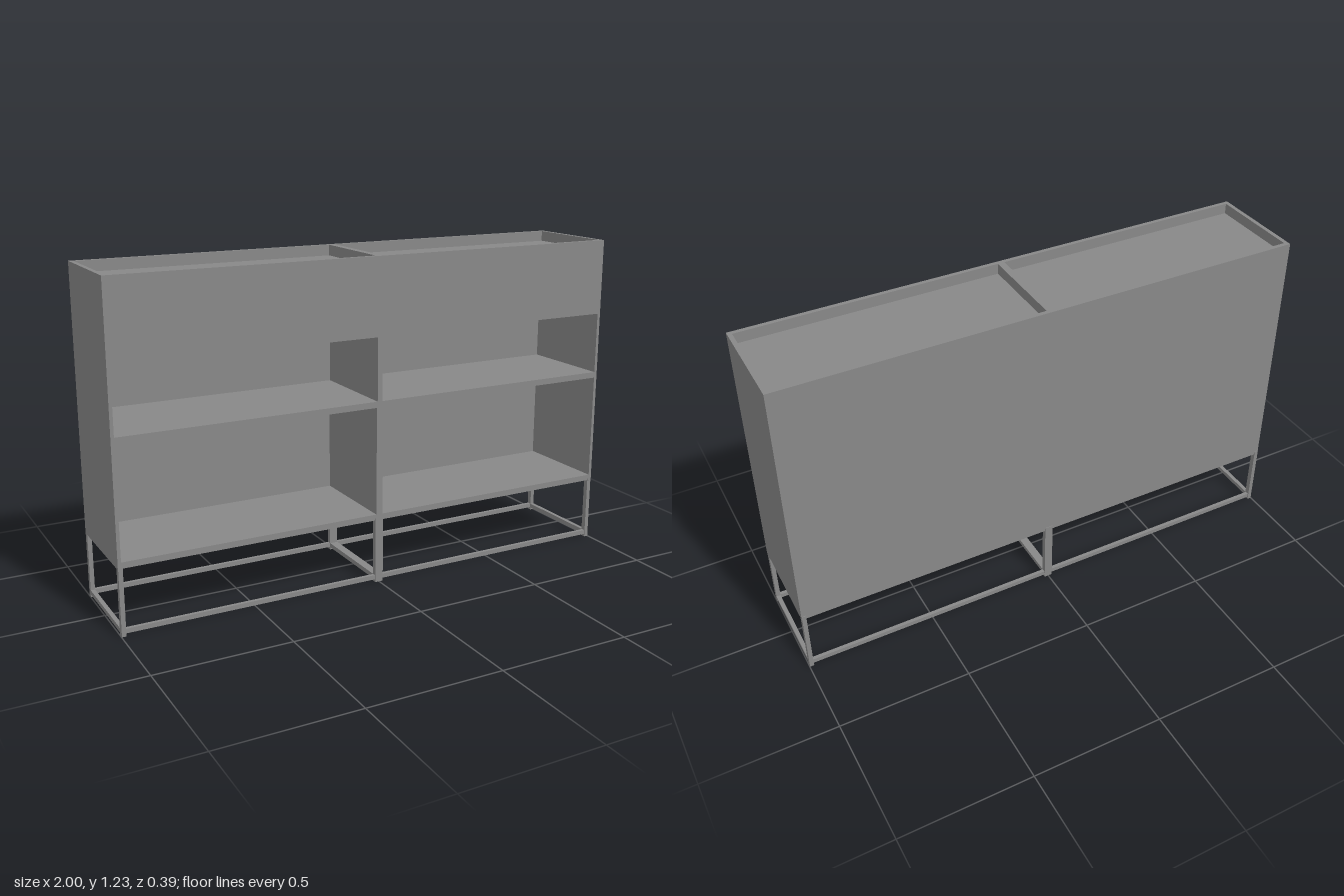
import * as THREE from 'three';

const material = new THREE.MeshStandardMaterial({ color: 0x888888 });

// Box given by its lower and upper corner
function slab(parent, name, [x0, y0, z0], [x1, y1, z1]) {
  const mesh = new THREE.Mesh(new THREE.BoxGeometry(x1 - x0, y1 - y0, z1 - z0), material);
  mesh.position.set((x0 + x1) / 2, (y0 + y1) / 2, (z0 + z1) / 2);
  mesh.name = name;
  parent.add(mesh);
}

const W = 1;                      // cabinet half width
const BACK = -0.194, FRONT = 0.197;
const BASE = 0.245, TOP = 1.23;
const T = 0.012;                  // panel thickness
const TRAY = 1.19;                // height of the sunken top
const RIM = 0.016;                // rim around the trays

function createCabinet() {
  const g = new THREE.Group();
  g.name = 'cabinet';
  const inX = W - T, inBack = BACK + T;

  // Outer panels, up to the tray floor
  for (const s of [-1, 1]) {
    const a = s < 0 ? -W : inX;
    slab(g, 'sidePanel', [a, BASE, BACK], [a + T, TRAY, FRONT]);
  }
  slab(g, 'backPanel', [-inX, BASE, BACK], [inX, TRAY, inBack]);

  // Floor, shelf and centre divider
  slab(g, 'floorPanel', [-inX, 0.255, inBack], [inX, 0.27, FRONT]);
  slab(g, 'shelf', [-inX, 0.68, inBack], [inX, 0.703, FRONT]);
  slab(g, 'lowerDivider', [-0.013, 0.27, inBack], [0.013, 0.68, FRONT]);
  slab(g, 'upperDivider', [-0.01, 0.703, inBack], [0.01, 0.94, FRONT]);

  // Closed upper section with two sunken trays
  slab(g, 'upperSection', [-inX, 0.94, inBack], [inX, TRAY, FRONT]);
  for (const x of [-W, W - RIM]) slab(g, 'traySideRim', [x, TRAY, BACK], [x + RIM, TOP, FRONT]);
  for (const z of [BACK, FRONT - RIM])
    slab(g, 'trayLongRim', [-W + RIM, TRAY, z], [W - RIM, TOP, z + RIM]);
  slab(g, 'trayDivider', [-0.013, TRAY, BACK + RIM], [0.013, TOP, FRONT - RIM]);
  return g;
}

// One rectangular metal base frame between x0 and x1
function createBaseFrame(x0, x1) {
  const g = new THREE.Group();
  g.name = 'baseFrame';
  const w = 0.016, d = 0.02, z = 0.1965;
  const rails = [['bottom', 0.01, 0.027], ['top', 0.246, 0.26]];

  for (const x of [x0, x1 - w])
    for (const zz of [-z, z - d]) slab(g, 'leg', [x, 0, zz], [x + w, 0.26, zz + d]);

  for (const [level, y0, y1] of rails) {
    for (const zz of [-z + 0.003, z - d + 0.003])
      slab(g, level + 'LongRail', [x0 + w, y0, zz], [x1 - w, y1, zz + d - 0.006]);
    for (const x of [x0, x1 - w])
      slab(g, level + 'CrossRail', [x, y0, -z + d], [x + w, y1, z - d]);
  }
  return g;
}

export function createModel() {
  const model = new THREE.Group();
  model.name = 'sideboard';
  model.add(createCabinet(), createBaseFrame(-0.999, 0), createBaseFrame(0, 0.999));
  return model;
}
